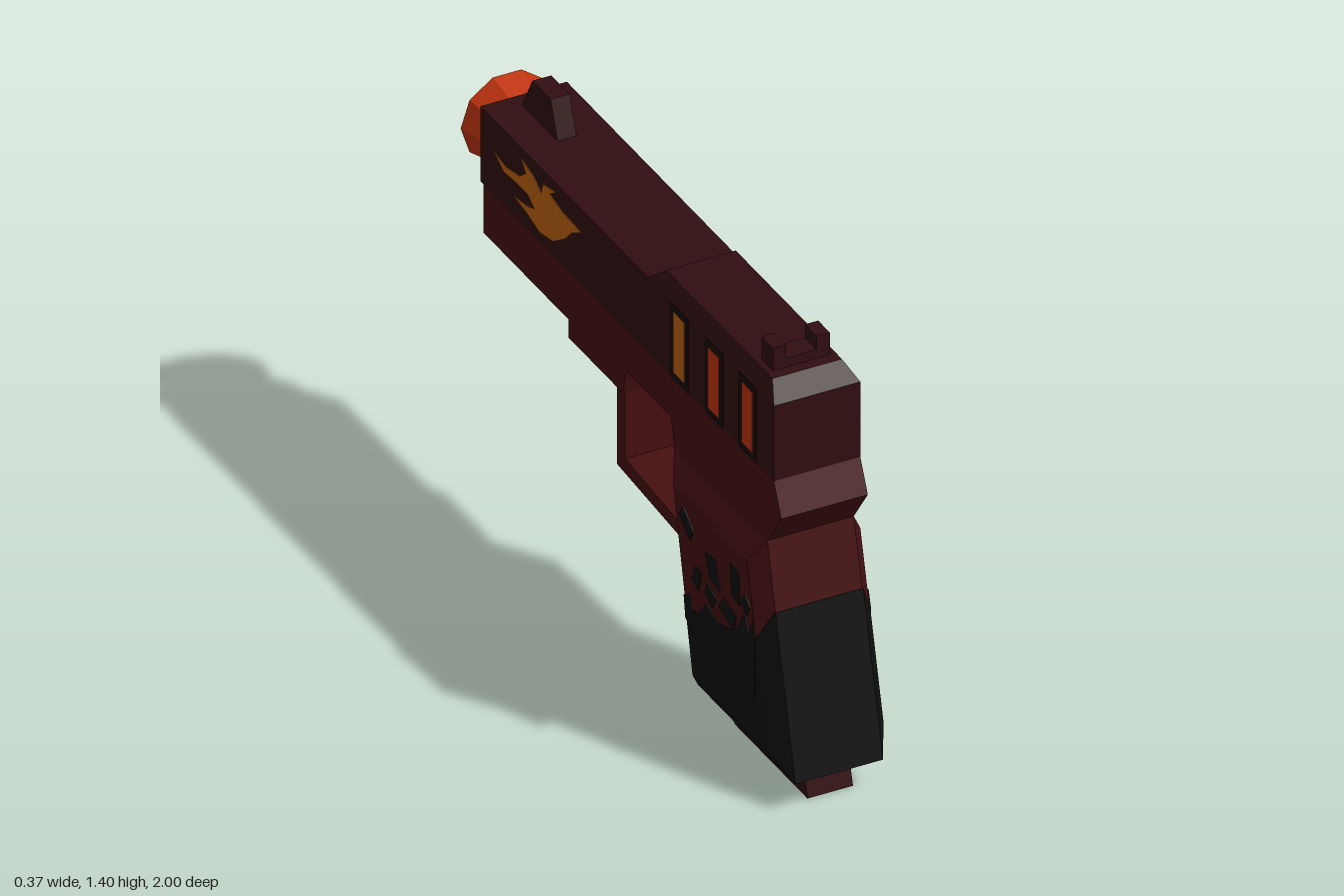
import * as THREE from 'three';
import { ConvexGeometry } from 'three/addons/geometries/ConvexGeometry.js';

const paint = (name, color) => {
  const m = new THREE.MeshStandardMaterial({ color });
  m.name = name;
  return m;
};

export function createModel() {
  const model = new THREE.Group();
  model.name = 'pistol';
  const darkRed = paint('dark red', 0x300e10);
  const red = paint('deep red', 0x450f11);
  const black = paint('black', 0x0f0f0f);
  const shade = paint('slot shadow', 0x190506);
  const orange = paint('orange', 0xc0330f);
  const amber = paint('amber', 0xbd620f);

  const add = (name, geometry, material) => {
    const mesh = new THREE.Mesh(geometry, material);
    mesh.name = name;
    model.add(mesh);
    return mesh;
  };
  // side outline given as [z, y], extruded across x and centred on x = cx
  const prism = (name, outline, width, material, cx = 0) => {
    const shape = new THREE.Shape(outline.map(([z, y]) => new THREE.Vector2(z, y)));
    const g = new THREE.ExtrudeGeometry(shape, { depth: width, bevelEnabled: false });
    g.translate(0, 0, -width / 2).rotateY(-Math.PI / 2).translate(cx, 0, 0);
    return add(name, g, material);
  };
  // convex solid from side outlines at several half widths: [halfWidth, [[z, y], ...]]
  const solid = (name, layers, material) => {
    const pts = [];
    for (const [w, outline] of layers)
      for (const [z, y] of outline)
        for (const s of [-1, 1]) pts.push(new THREE.Vector3(s * w, y, z));
    return add(name, new ConvexGeometry(pts), material);
  };
  // faceted ring pointing along -z, profile given as [radius, -z]
  const turned = (name, profile, y, material) => {
    const pts = profile.map(([r, h]) => new THREE.Vector2(r, h));
    const g = new THREE.LatheGeometry(pts, 10, Math.PI / 2).toNonIndexed();
    g.computeVertexNormals();
    g.rotateX(-Math.PI / 2).translate(0, y, 0);
    return add(name, g, material);
  };
  const box = (name, w, h, d, x, y, z, material) =>
    add(name, new THREE.BoxGeometry(w, h, d).translate(x, y, z), material);

  // slide with raised rear
  prism('slide', [[0.87, 1.03], [0.87, 1.28], [-0.9, 1.28], [-0.9, 1.03]], 0.274, darkRed);
  solid('slideRearCap', [
    [0.137, [[0.87, 1.28], [0.11, 1.28]]],
    [0.11, [[0.81, 1.33], [0.17, 1.33]]],
  ], darkRed);

  // frame with rail and rear tang
  prism('frame', [
    [0.87, 1.03], [0.915, 0.93], [0.83, 0.81], [0.268, 0.81], [0.25, 0.895], [-0.02, 0.895],
    [-0.04, 0.81], [-0.37, 0.81], [-0.37, 0.87], [-0.88, 0.87], [-0.88, 1.03],
  ], 0.274, red);

  // grip with bevelled sides
  const rear = (y) => 0.83 + (0.81 - y) * 0.239;
  const front = (y) => 0.268 + (0.81 - y) * 0.214;
  const inset = 0.06;
  solid('grip', [
    [0.137, [[rear(0.81), 0.81], [rear(0.1), 0.1], [front(0.1), 0.1], [front(0.81), 0.81]]],
    [0.18, [0.735, 0.17].flatMap((y) => [[rear(y) - inset, y], [front(y) + inset, y]])],
  ], red);

  // black lower grip, a thin shell over the grip
  const o = 0.004;
  solid('gripLowerShell', [
    [0.139, [[rear(0.6) + o, 0.6], [rear(0.1) + o, 0.098], [front(0.1) - o, 0.098], [front(0.4) - o, 0.4]]],
    [0.182, [[rear(0.5) - inset, 0.5], [rear(0.17) - inset, 0.17],
      [front(0.17) + inset, 0.17], [front(0.34) + inset, 0.34]]],
  ], black);

  // ragged edge and loose flakes on both grip sides
  const raggedEdge = [
    [0.845, 0.5], [0.83, 0.555], [0.805, 0.5], [0.78, 0.555], [0.735, 0.48], [0.69, 0.45], [0.62, 0.43],
    [0.55, 0.455], [0.5, 0.395], [0.46, 0.385], [0.445, 0.43], [0.415, 0.41], [0.425, 0.34], [0.5, 0.3], [0.84, 0.3],
  ];
  const flakes = [
    [[0.74, 0.66], [0.69, 0.67], [0.7, 0.57], [0.75, 0.56]],
    [[0.6, 0.63], [0.54, 0.62], [0.57, 0.55], [0.63, 0.54]],
    [[0.47, 0.65], [0.41, 0.7], [0.38, 0.66], [0.45, 0.61]],
    [[0.73, 0.51], [0.65, 0.53], [0.62, 0.49], [0.71, 0.46]],
    [[0.61, 0.5], [0.55, 0.53], [0.54, 0.49], [0.58, 0.46]],
    [[0.52, 0.54], [0.48, 0.54], [0.46, 0.49], [0.5, 0.47]],
    [[0.81, 0.59], [0.78, 0.62], [0.76, 0.58], [0.79, 0.55]],
  ];
  for (const s of [-1, 1]) {
    prism('gripRaggedEdge', raggedEdge, 0.006, black, s * 0.181);
    for (const f of flakes) prism('gripFlake', f, 0.006, black, s * 0.18);
  }

  // magazine base
  prism('magazine', [[0.949, 0], [0.51, 0], [0.48, 0.11], [0.92, 0.11]], 0.144, darkRed);

  // trigger and guard
  prism('triggerGuard', [
    [-0.04, 0.82], [-0.09, 0.82], [-0.09, 0.545], [0.33, 0.515], [0.32, 0.56], [-0.04, 0.59],
  ], 0.26, red);
  prism('trigger', [[0.25, 0.89], [0.135, 0.665], [0.3, 0.65]], 0.12, orange);

  // sights
  prism('frontSight', [[-0.638, 1.28], [-0.68, 1.395], [-0.79, 1.395], [-0.853, 1.28]], 0.06, darkRed);
  box('rearSightBase', 0.18, 0.03, 0.07, 0, 1.345, 0.74, darkRed);
  for (const s of [-1, 1]) box('rearSightPost', 0.042, 0.045, 0.07, s * 0.069, 1.382, 0.74, darkRed);

  // muzzle and guide rod
  turned('muzzle', [[0.118, 0.89], [0.147, 1], [0.068, 1], [0.062, 0.93]], 1.152, orange);
  turned('bore', [[0.062, 0.93], [0, 0.93]], 1.152, black);
  turned('guideRod', [[0.05, 0.87], [0.07, 0.935], [0.024, 0.935], [0.022, 0.91]], 0.94, amber);
  turned('guideRodBore', [[0.022, 0.91], [0, 0.91]], 0.94, black);

  // slots on both sides of the slide
  for (const s of [-1, 1]) {
    [[0.713, orange], [0.51, orange], [0.302, amber]].forEach(([z, material]) => {
      box('slotSurround', 0.004, 0.248, 0.105, s * 0.137, 1.155, z, shade);
      box('slotInsert', 0.006, 0.2, 0.064, s * 0.138, 1.155, z, material);
    });
  }

  // painted flames
  const orangeFlame = [
    [0.225, 1.096], [0.193, 1.15], [0.129, 1.176], [0.054, 1.144], [0, 1.15], [0.032, 1.182], [0.048, 1.219],
    [0, 1.246], [0.011, 1.203], [-0.043, 1.193], [-0.107, 1.235], [-0.172, 1.257], [-0.139, 1.225],
    [-0.204, 1.219], [-0.29, 1.225], [-0.397, 1.187], [-0.311, 1.144], [-0.225, 1.118], [-0.193, 1.102],
    [-0.204, 1.064], [-0.139, 1.037], [-0.075, 1.053], [-0.139, 1.07], [-0.139, 1.096], [-0.096, 1.102],
    [-0.043, 1.075], [0.021, 1.059], [0.064, 1.086], [0.011, 1.096], [-0.032, 1.118], [0.032, 1.118],
    [0.118, 1.096], [0.15, 1.059], [0.145, 1.107], [0.182, 1.118],
  ];
  const amberFlame = [
    [-0.3, 1.176], [-0.375, 1.166], [-0.461, 1.182], [-0.504, 1.214], [-0.472, 1.246], [-0.547, 1.23],
    [-0.6, 1.198], [-0.611, 1.235], [-0.692, 1.251], [-0.654, 1.225], [-0.729, 1.209], [-0.853, 1.203],
    [-0.794, 1.171], [-0.751, 1.128], [-0.676, 1.08], [-0.59, 1.064], [-0.504, 1.086], [-0.429, 1.096],
    [-0.504, 1.107], [-0.558, 1.123], [-0.515, 1.15], [-0.44, 1.15], [-0.365, 1.144],
  ];
  prism('orangeFlame', orangeFlame, 0.004, orange, 0.137);
  prism('amberFlame', amberFlame, 0.005, amber, 0.137);
  prism('amberFlameRight', amberFlame.map(([z, y]) => [-1.1 - z * 0.95, y]), 0.005, amber, -0.137);

  return model;
}
